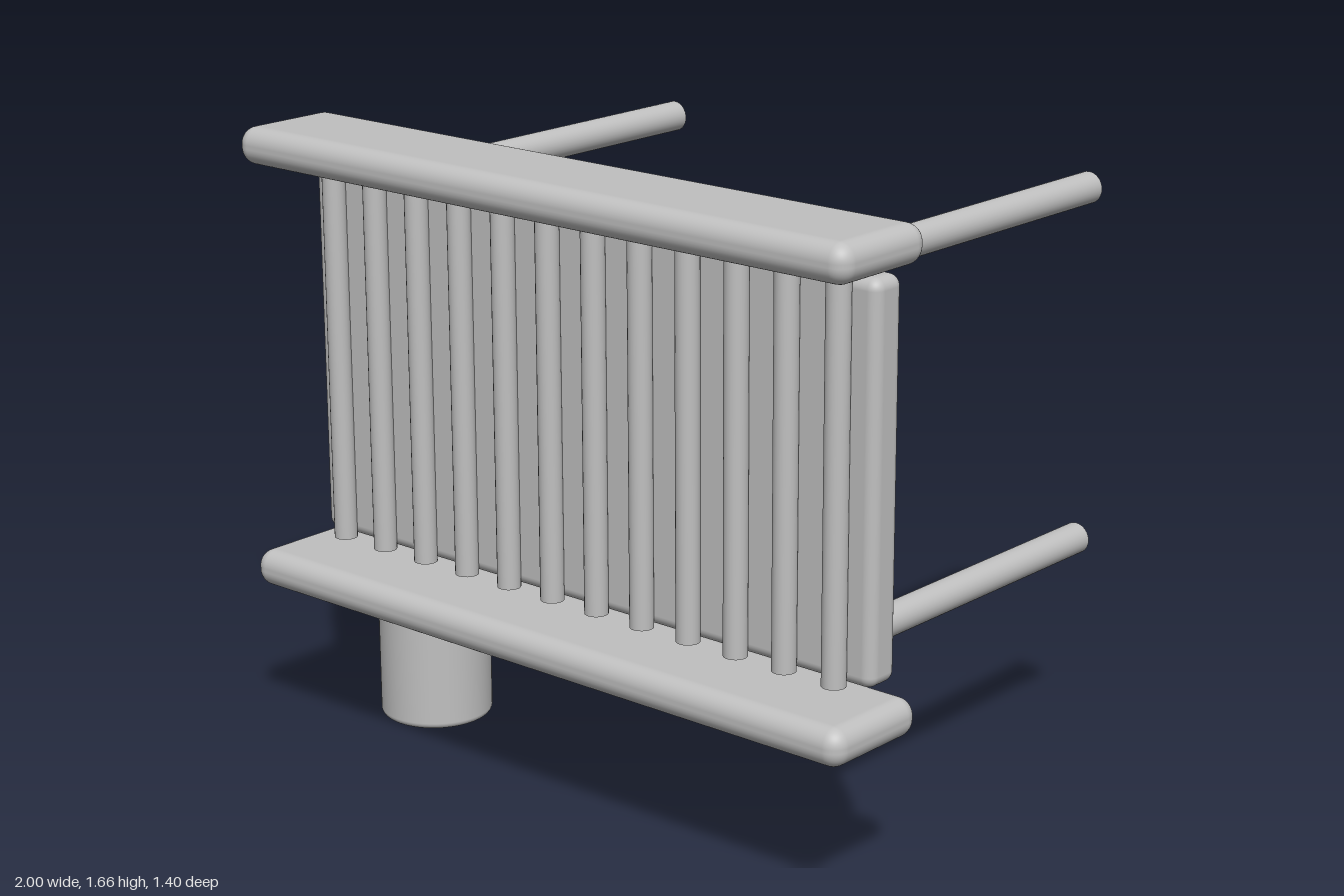
import * as THREE from 'three';
import { RoundedBoxGeometry } from 'three/addons/geometries/RoundedBoxGeometry.js';

export function createModel() {
  const model = new THREE.Group();
  const grey = new THREE.MeshStandardMaterial({ color: 0xc0c0c0 });
  grey.name = 'plain grey';

  const add = (name, geometry, x, y, z) => {
    const mesh = new THREE.Mesh(geometry, grey);
    mesh.name = name;
    mesh.position.set(x, y, z);
    model.add(mesh);
    return mesh;
  };

  // Rounded rails above and below the panel
  const rail = new RoundedBoxGeometry(2, 0.1, 0.32, 6, 0.045);
  add('topRail', rail, 0, 1.615, 0.541);
  add('bottomRail', rail, 0, 0.457, 0.541);

  // Back panel with softened edges
  add('panel', new RoundedBoxGeometry(1.868, 1.004, 0.103, 5, 0.03), 0, 1.034, 0.438);

  // Row of upright round slats, half sunk into the panel front
  const slat = new THREE.CylinderGeometry(0.031, 0.031, 1.006, 24);
  const slatCount = 12;
  for (let i = 0; i < slatCount; i++) {
    const x = -0.838 + (i * 1.676) / (slatCount - 1);
    add('slat', slat, x, 1.034, 0.509);
  }

  // Four round bars reaching backwards
  const bar = new THREE.CylinderGeometry(0.042, 0.042, 1.06, 32).rotateX(Math.PI / 2);
  for (const x of [-0.708, 0.708]) {
    for (const y of [0.556, 1.514]) add('rearBar', bar, x, y, -0.17);
  }

  // Drum with rounded rims, standing on the ground
  const r = 0.153, h = 0.362, b = 0.018;
  const profile = new THREE.Path();
  profile.moveTo(0, 0);
  profile.lineTo(r - b, 0);
  profile.absarc(r - b, b, b, -Math.PI / 2, 0, false);
  profile.lineTo(r, h - b);
  profile.absarc(r - b, h - b, b, 0, Math.PI / 2, false);
  profile.lineTo(0, h);
  add('drum', new THREE.LatheGeometry(profile.getPoints(6), 48), -0.71, 0, 0.309);

  return model;
}
